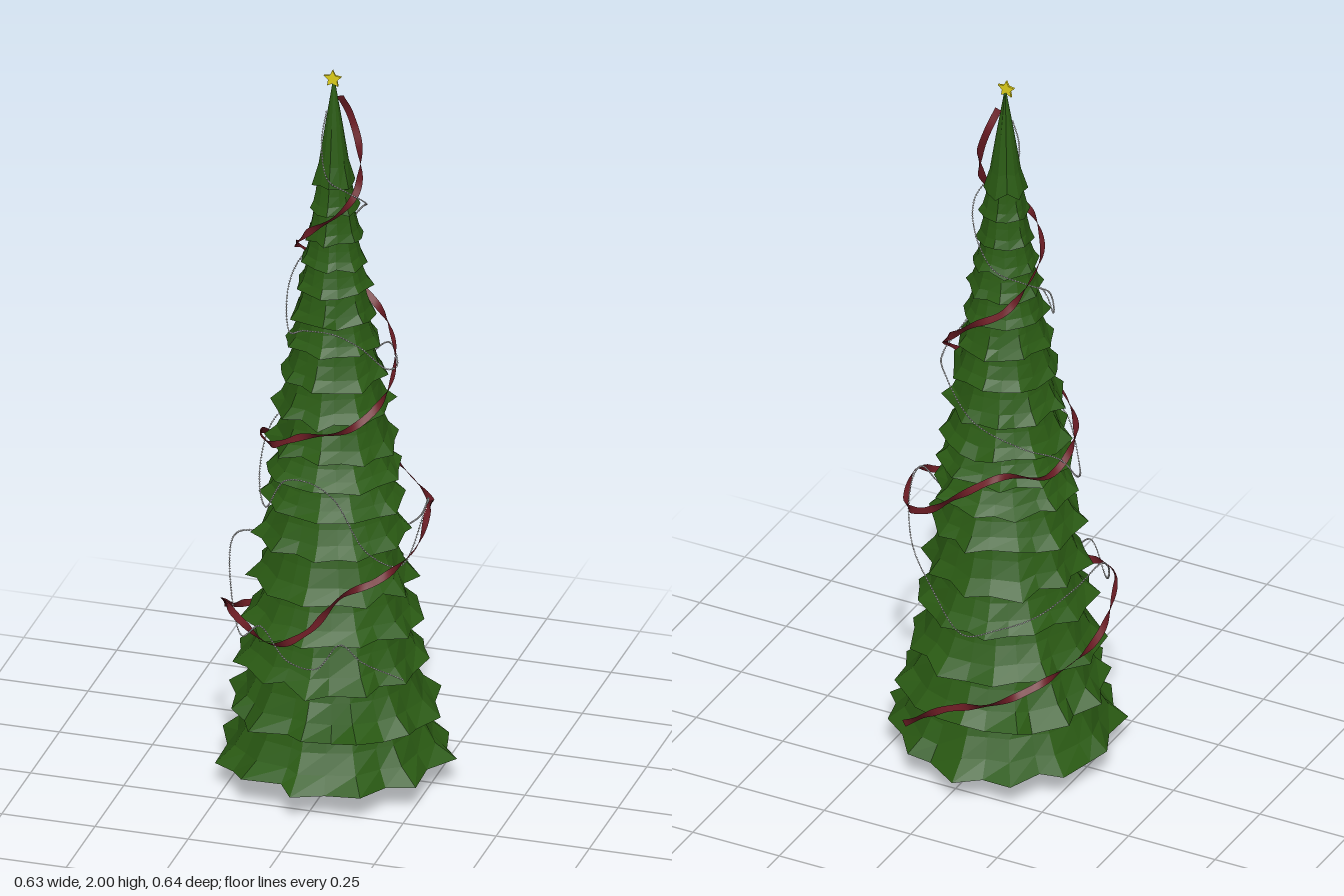
import * as THREE from 'three';
import { mergeGeometries } from 'three/addons/utils/BufferGeometryUtils.js';

const CX = -0.012, CZ = 0.003; // axis of the tree

function seeded(seed) {
  return () => {
    seed = (seed * 16807) % 2147483647;
    return seed / 2147483647;
  };
}

// Closed rings of points, joined bottom to top into flat facets
function loft(rings) {
  const n = rings[0].length, pos = [], index = [];
  rings.forEach((ring) => ring.forEach((p) => pos.push(...p)));
  for (let j = 0; j < rings.length - 1; j++) {
    for (let i = 0; i < n; i++) {
      const a = j * n + i, b = j * n + (i + 1) % n;
      index.push(a, b, b + n, a, b + n, a + n);
    }
  }
  const g = new THREE.BufferGeometry();
  g.setAttribute('position', new THREE.Float32BufferAttribute(pos, 3));
  g.setIndex(index);
  const flat = g.toNonIndexed();
  flat.computeVertexNormals();
  return flat;
}

// One jagged skirt of branches: drooping tips, hollow flare, tucked underside
function skirtGeometry(y, r, h, sides, rand, first, last) {
  const profile = [
    [first ? 0.01 : 0.62, 0.22, 0], [1, 0, 1], [0.86, 0.3, 0.5],
    [0.77, 0.68, 0.25], [0.7, 1.12, 0.1],
  ];
  if (last) profile.splice(2, 3, [0.72, 0.2, 0.4], [0.42, 0.58, 0.2], [0.06, 1, 0]);
  const corners = Array.from({ length: sides }, (_, i) => ({
    a: (i + (rand() - 0.5) * 0.5) / sides * Math.PI * 2,
    dr: (i % 2 ? -0.05 : 0.05) + (rand() - 0.5) * 0.1,
    dy: (rand() - 0.5) * 0.2,
  }));
  return loft(profile.map(([pr, py, jag]) => corners.map(({ a, dr, dy }) => {
    const rr = r * pr * (1 + dr * jag);
    const yy = y + h * py + Math.min(h, 0.13) * dy * jag;
    return [CX + rr * Math.sin(a), yy, CZ + rr * Math.cos(a)];
  })));
}

// Smooth path through [x, y, z] points
function path(points) {
  return new THREE.CatmullRomCurve3(points.map((p) => new THREE.Vector3(...p)));
}

// Flat strip that stands upright and slowly twists along a path
function ribbonGeometry(curve, width, steps) {
  const pos = [], index = [], side = new THREE.Vector3();
  for (let i = 0; i <= steps; i++) {
    const p = curve.getPointAt(i / steps), t = curve.getTangentAt(i / steps);
    side.set(0, 1, 0).addScaledVector(t, -t.y).normalize();
    side.applyAxisAngle(t, 0.9 * Math.sin(i * 0.33)).multiplyScalar(width / 2);
    pos.push(p.x - side.x, p.y - side.y, p.z - side.z, p.x + side.x, p.y + side.y, p.z + side.z);
    if (i < steps) index.push(2 * i, 2 * i + 2, 2 * i + 3, 2 * i, 2 * i + 3, 2 * i + 1);
  }
  const g = new THREE.BufferGeometry();
  g.setAttribute('position', new THREE.Float32BufferAttribute(pos, 3));
  g.setIndex(index);
  g.computeVertexNormals();
  return g;
}

export function createModel() {
  const tree = new THREE.Group();
  tree.name = 'christmasTree';
  const material = (name, color, extra = {}) => {
    const m = new THREE.MeshStandardMaterial({ color, ...extra });
    m.name = name;
    return m;
  };
  const green = material('needleGreen', 0x2a5a13, { flatShading: true });
  const brown = material('barkBrown', 0x57392f, { flatShading: true });
  const red = material('ribbonRed', 0x6b1c24, { side: THREE.DoubleSide });
  const white = material('beadWhite', 0xf2f2f2);
  const yellow = material('starYellow', 0xe0d01c, { flatShading: true });
  const add = (name, geometry, mat, parent = tree) => {
    const mesh = new THREE.Mesh(geometry, mat);
    mesh.name = name;
    parent.add(mesh);
    return mesh;
  };

  // Trunk with root toes splayed on the ground
  const toes = 14;
  const trunkProfile = [[0.001, 0, 0], [0.072, 0, 0.014], [0.05, 0.018, 0.006],
    [0.042, 0.05, 0.002], [0.036, 0.11, 0], [0.001, 0.11, 0]];
  const trunkRings = trunkProfile.map(([r, y, toe]) => Array.from({ length: toes }, (_, i) => {
    const a = i / toes * Math.PI * 2, rr = r + (i % 2 ? -toe : toe);
    return [CX + rr * Math.sin(a), y, CZ + rr * Math.cos(a)];
  }));
  add('trunk', loft(trunkRings), brown);

  // Foliage tiers as [bottom height, tip radius]
  const tiers = [[0.07, 0.3], [0.2, 0.268], [0.33, 0.245], [0.45, 0.225], [0.565, 0.21],
    [0.69, 0.197], [0.79, 0.183], [0.87, 0.173], [0.945, 0.165], [1.045, 0.152], [1.14, 0.138],
    [1.23, 0.123], [1.31, 0.11], [1.39, 0.097], [1.46, 0.085], [1.53, 0.074], [1.61, 0.064],
    [1.68, 0.054]];
  const foliage = new THREE.Group();
  foliage.name = 'foliage';
  tree.add(foliage);
  const rand = seeded(4217);
  tiers.forEach(([y, r], i) => {
    const last = i === tiers.length - 1;
    const h = (last ? 1.965 : tiers[i + 1][0]) - y;
    const sides = 2 * Math.round(12 - i * 0.38);
    add(`branchTier${i + 1}`, skirtGeometry(y, r, h, sides, rand, i === 0, last), green, foliage);
  });

  // Ribbon winding up around the branches
  const ribbonPath = path([
    [0.16, 0.14, -0.23], [0.02, 0.24, -0.26], [-0.14, 0.31, -0.27], [-0.25, 0.37, -0.16],
    [-0.295, 0.42, -0.02], [-0.27, 0.5, 0.12], [-0.2, 0.49, 0.2], [-0.1, 0.46, 0.25],
    [0, 0.52, 0.27], [0.09, 0.63, 0.26], [0.17, 0.66, 0.2], [0.235, 0.71, 0.09], [0.235, 0.77, -0.02],
    [0.2, 0.74, -0.14], [0.1, 0.79, -0.21], [0, 0.87, -0.222], [-0.1, 0.93, -0.18],
    [-0.18, 0.9, -0.08], [-0.2, 0.95, 0.02], [-0.14, 0.97, 0.13], [-0.04, 1.03, 0.18],
    [0.07, 1.05, 0.155], [0.14, 1.11, 0.06], [0.145, 1.18, -0.02], [0.1, 1.25, -0.1],
    [0.01, 1.33, -0.13], [-0.07, 1.38, -0.11], [-0.115, 1.47, -0.03], [-0.1, 1.51, 0.04],
    [-0.05, 1.57, 0.08], [0.02, 1.62, 0.07], [0.055, 1.67, 0.02], [0.05, 1.77, -0.02],
    [0.02, 1.86, -0.035], [0, 1.92, -0.012],
  ]);
  add('ribbon', ribbonGeometry(ribbonPath, 0.019, 320), red);

  // Bead garland: a fine cord with small beads strung along it
  const garlandPath = path([
    [0.23, 0.38, 0.19], [0.14, 0.45, 0.26], [0.09, 0.5, 0.28], [0.03, 0.43, 0.295],
    [-0.05, 0.44, 0.29], [-0.13, 0.51, 0.255], [-0.2, 0.45, 0.2], [-0.26, 0.55, 0.1],
    [-0.285, 0.62, 0], [-0.27, 0.6, -0.1], [-0.2, 0.54, -0.19], [-0.11, 0.5, -0.235],
    [-0.02, 0.47, -0.25], [0.08, 0.58, -0.235], [0.16, 0.66, -0.185], [0.21, 0.76, -0.1],
    [0.23, 0.77, 0], [0.2, 0.66, 0.1], [0.13, 0.72, 0.175], [0.05, 0.88, 0.212],
    [-0.01, 0.92, 0.22], [-0.08, 0.91, 0.205], [-0.15, 0.8, 0.15], [-0.2, 0.84, 0.04],
    [-0.195, 0.94, -0.05], [-0.13, 1.0, -0.135], [-0.01, 1.07, -0.175], [0.09, 1.17, -0.14],
    [0.145, 1.16, -0.04], [0.14, 1.19, 0.05], [0.09, 1.27, 0.11], [0.03, 1.31, 0.137],
    [-0.05, 1.31, 0.135], [-0.105, 1.28, 0.09], [-0.125, 1.38, 0.03], [-0.105, 1.44, -0.05],
    [-0.03, 1.49, -0.098], [0.04, 1.58, -0.07], [0.072, 1.63, 0], [0.04, 1.68, 0.055],
    [-0.01, 1.71, 0.06], [-0.035, 1.8, 0.035], [-0.03, 1.88, 0.01],
  ]);
  const garland = new THREE.Group();
  garland.name = 'garland';
  tree.add(garland);
  add('cord', new THREE.TubeGeometry(garlandPath, 420, 0.001, 3), white, garland);
  const beads = garlandPath.getSpacedPoints(620)
    .map((p) => new THREE.OctahedronGeometry(0.0032).translate(p.x, p.y, p.z));
  add('beads', mergeGeometries(beads), white, garland);

  // Five-pointed star on the tip
  const outline = new THREE.Shape(Array.from({ length: 10 }, (_, i) => {
    const r = i % 2 ? 0.0125 : 0.025, a = Math.PI / 2 + i * Math.PI / 5;
    return new THREE.Vector2(r * Math.cos(a), r * Math.sin(a));
  }));
  const starGeometry = new THREE.ExtrudeGeometry(outline, { depth: 0.006, bevelEnabled: false });
  const star = add('star', starGeometry, yellow);
  star.position.set(CX - 0.002, 1.975, CZ);
  return tree;
}
